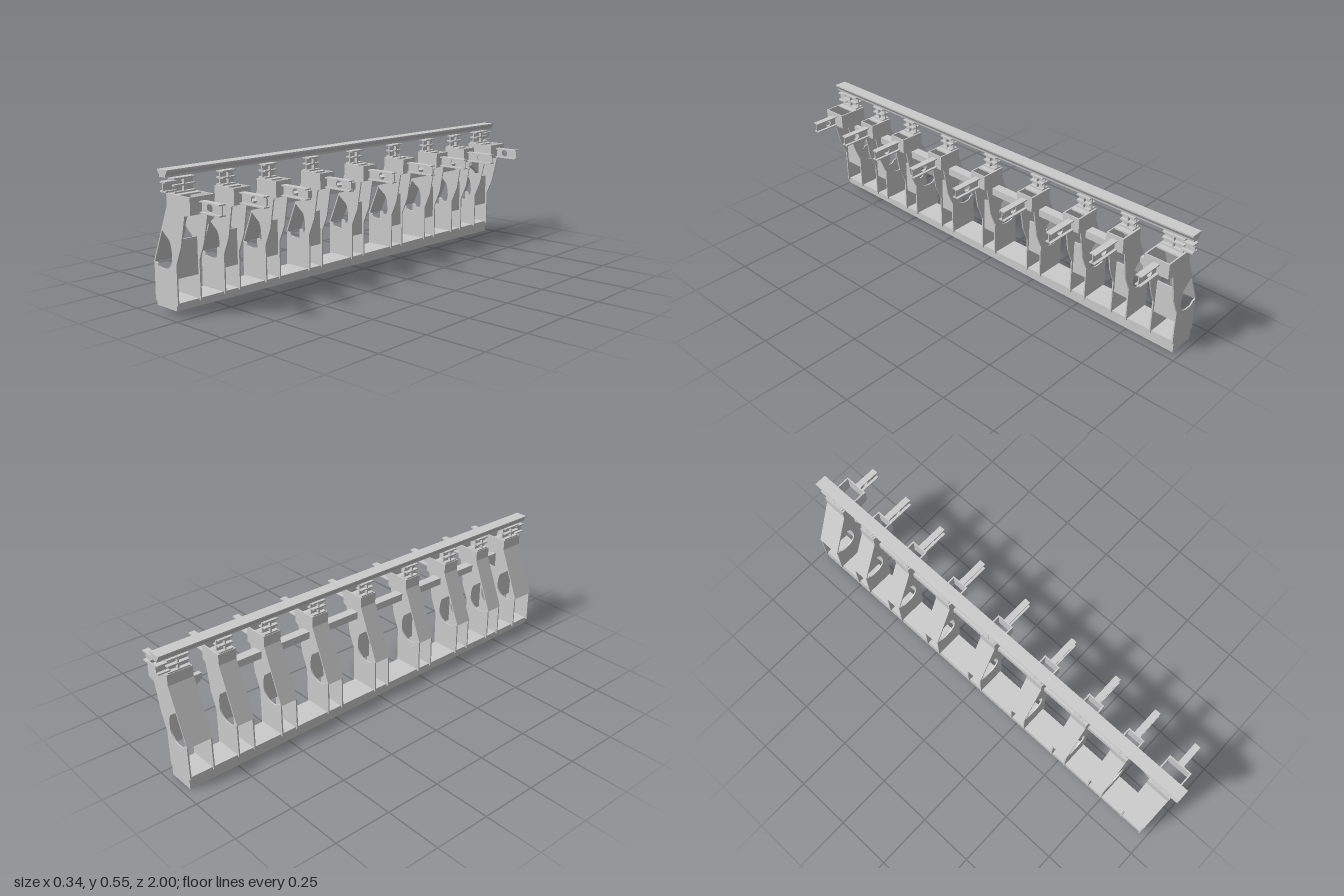
import * as THREE from 'three';

const grey = new THREE.MeshStandardMaterial({ color: 0xcccccc, flatShading: true });

// Add a named mesh
function add(parent, name, geometry) {
  const mesh = new THREE.Mesh(geometry, grey);
  mesh.name = name;
  parent.add(mesh);
  return mesh;
}

// Box given by its min and max on each axis
function box(parent, name, x0, x1, y0, y1, z0, z1) {
  const g = new THREE.BoxGeometry(x1 - x0, y1 - y0, z1 - z0);
  g.translate((x0 + x1) / 2, (y0 + y1) / 2, (z0 + z1) / 2);
  return add(parent, name, g);
}

const toShape = (pts) => new THREE.Shape(pts.map(([x, y]) => new THREE.Vector2(x, y)));

// xy outline extruded from z0 to z1
function slab(parent, name, shape, z0, z1) {
  const g = new THREE.ExtrudeGeometry(shape, { depth: z1 - z0, bevelEnabled: false, curveSegments: 20 });
  g.translate(0, 0, z0);
  return add(parent, name, g);
}

// Side plate outline with the rounded opening on its sloping edge
function plateShape(arm, wide) {
  const s = new THREE.Shape();
  s.moveTo(-0.17, 0.045);
  s.lineTo(-0.033, 0.045);
  s.lineTo(-0.033, 0.2);
  s.lineTo(-0.003, 0.27);
  s.lineTo(wide ? 0.025 : 0.018, 0.39);
  s.lineTo(arm, 0.397);
  s.lineTo(arm, 0.462);
  s.lineTo(-0.077, 0.462);
  s.lineTo(-0.077, 0.415);
  s.lineTo(-0.114, 0.321);
  s.lineTo(-0.07, 0.287);
  s.quadraticCurveTo(-0.058, 0.27, -0.057, 0.225);
  s.bezierCurveTo(-0.059, 0.185, -0.092, 0.165, -0.143, 0.178);
  s.lineTo(-0.148, 0.188);
  s.lineTo(-0.168, 0.193);
  return s;
}

// Hollow upright with its head block and outrigger beam
function makeFrame(z, width, wide) {
  const frame = new THREE.Group();
  frame.name = 'frame';
  frame.position.z = z;
  const h = width / 2, t = 0.006, arm = wide ? 0.06 : 0.035;
  const plate = plateShape(arm, wide);
  slab(frame, 'sidePlateFront', plate, h - t, h);
  slab(frame, 'sidePlateBack', plate, -h, -h + t);

  // Sloping skin, stiffener and closing plates between the side plates
  const skin = toShape([[-0.172, 0.19], [-0.166, 0.19], [-0.072, 0.414], [-0.072, 0.462], [-0.077, 0.462], [-0.077, 0.416]]);
  slab(frame, 'slopingSkin', skin, -h, h);
  box(frame, 'stiffener', -0.048, -0.042, 0.145, 0.29, -h + t, h - t);
  box(frame, 'topCap', -0.076, -0.01, 0.456, 0.462, -h + t, h - t);
  box(frame, 'armEndPlate', arm - 0.005, arm, 0.397, 0.462, -h + t, h - t);

  // I-beam outrigger with a hole through its web
  const web = toShape([[arm, 0.4], [0.171, 0.4], [0.171, 0.444], [arm, 0.444]]);
  const hole = new THREE.Path();
  hole.absarc(0.103, 0.422, 0.016, 0, Math.PI * 2, true);
  web.holes.push(hole);
  slab(frame, 'beamWeb', web, -0.002, 0.002);
  box(frame, 'beamTopFlange', arm, 0.171, 0.44, 0.445, -0.014, 0.014);
  box(frame, 'beamBottomFlange', arm, 0.171, 0.4, 0.405, -0.014, 0.014);

  // Head block carrying the rail
  const w = h - 0.008;
  box(frame, 'headWeb', -0.058, -0.052, 0.462, 0.519, -w, w);
  box(frame, 'headCrossWeb', -0.072, -0.039, 0.462, 0.519, -0.003, 0.003);
  for (const y of [0.462, 0.488, 0.513])
    box(frame, 'headFlange', -0.075, -0.036, y, y + 0.006, -w, w);
  return frame;
}

export function createModel() {
  const model = new THREE.Group();
  model.name = 'railSupport';

  // Base beam, its underside sloping along the length
  const base = box(model, 'base', -0.162, -0.041, 0, 0.052, -0.97, 0.97).geometry;
  const p = base.attributes.position;
  for (let i = 0; i < p.count; i++)
    if (p.getY(i) < 0.03) p.setY(i, p.getZ(i) > 0 ? 0.025 : 0);
  base.computeVertexNormals();

  // Top rail
  const rail = toShape([[-0.072, 0.525], [-0.038, 0.525], [-0.037, 0.533], [-0.028, 0.547],
    [-0.028, 0.553], [-0.084, 0.553], [-0.084, 0.547], [-0.073, 0.533]]);
  slab(model, 'rail', rail, -1, 1);

  // Uprights, wider at both ends
  const centres = [-0.71, -0.5, -0.26, 0, 0.26, 0.5, 0.71];
  for (const z of centres) model.add(makeFrame(z, 0.08, false));
  for (const side of [-1, 1]) {
    model.add(makeFrame(side * 0.915, 0.11, true));
    // Gusset on the inner face of each end frame
    const gusset = slab(model, 'gusset', toShape([[0.8, 0.385], [0.862, 0.385], [0.862, 0.315], [0.8, 0.362]]), -0.01, 0.01);
    gusset.rotation.y = -Math.PI / 2;
    gusset.position.x = -0.022;
    if (side < 0) gusset.geometry.rotateY(Math.PI);
    // Rail clips beyond the end frames
    for (const y of [0.47, 0.504])
      box(model, 'endClip', -0.072, -0.039, y, y + 0.006, side > 0 ? 0.95 : -1, side > 0 ? 1 : -0.95);
    box(model, 'endClipWeb', -0.058, -0.052, 0.47, 0.51, side > 0 ? 0.95 : -1, side > 0 ? 1 : -0.95);
  }

  // Tie beams between neighbouring inner frames
  for (let i = 0; i < centres.length - 1; i++)
    box(model, 'tieBeam', -0.055, -0.013, 0.356, 0.388, centres[i] + 0.04, centres[i + 1] - 0.04);

  return model;
}
